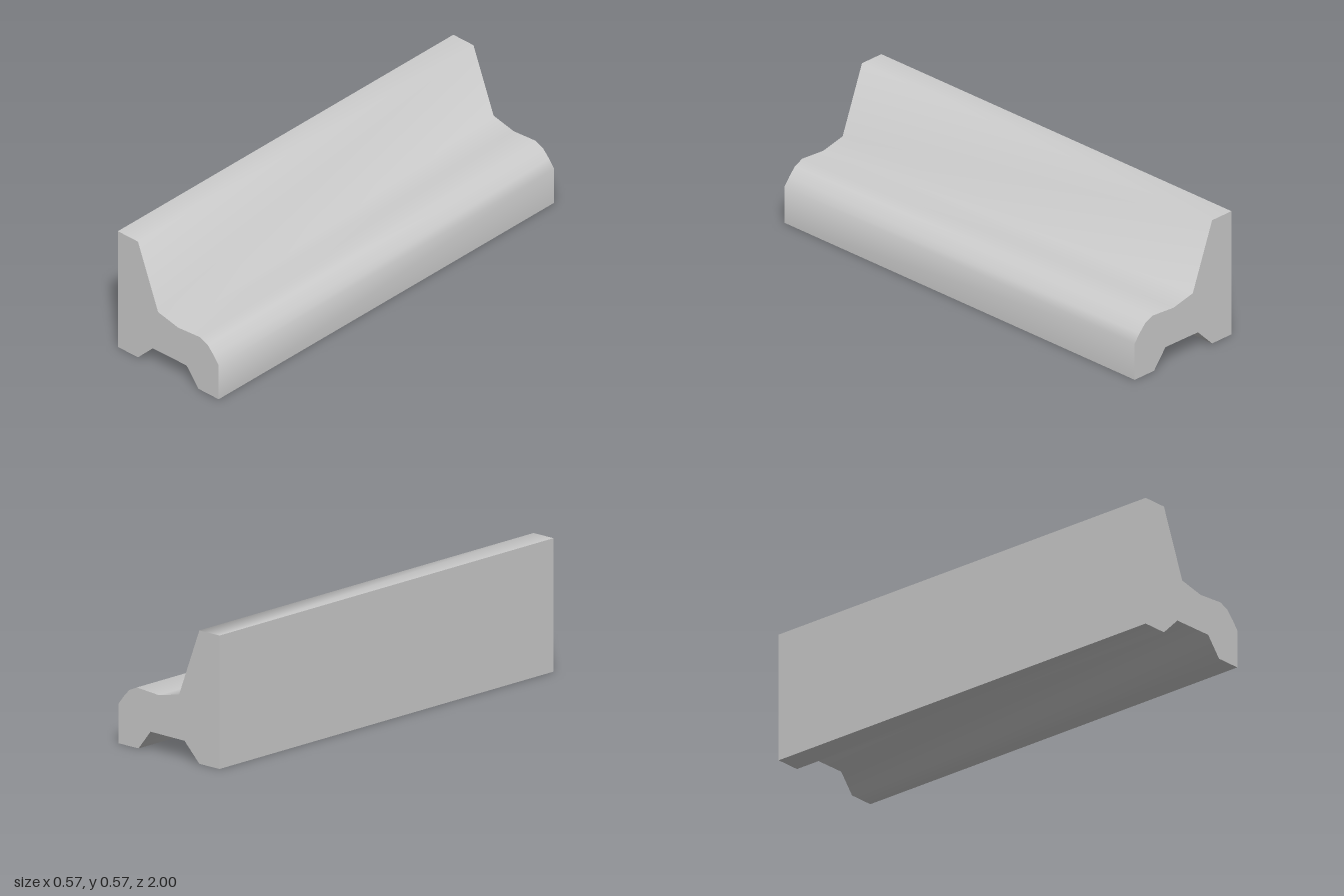
import * as THREE from 'three';
import { toCreasedNormals } from 'three/addons/utils/BufferGeometryUtils.js';

export function createModel() {
  const group = new THREE.Group();
  group.name = 'bench';

  // Cross-section: tall backrest, dished seat with rounded front lip, two feet
  const profile = [
    [-0.283, 0], [-0.17, 0], [-0.087, 0.082], [0.103, 0.084], [0.17, 0], [0.283, 0],
    [0.283, 0.167], [0.255, 0.203], [0.222, 0.238], [0.18, 0.257],
    [0.056, 0.248], [-0.057, 0.273], [-0.17, 0.567], [-0.283, 0.567],
  ];
  const shape = new THREE.Shape(profile.map(([x, y]) => new THREE.Vector2(x, y)));

  // Extrude along the length, softening all but the square corners
  const extruded = new THREE.ExtrudeGeometry(shape, { depth: 2, bevelEnabled: false });
  extruded.translate(0, 0, -1);
  const geometry = toCreasedNormals(extruded, THREE.MathUtils.degToRad(75));

  const body = new THREE.Mesh(geometry, new THREE.MeshStandardMaterial({ color: 0xcccccc }));
  body.name = 'benchBody';
  group.add(body);
  return group;
}
